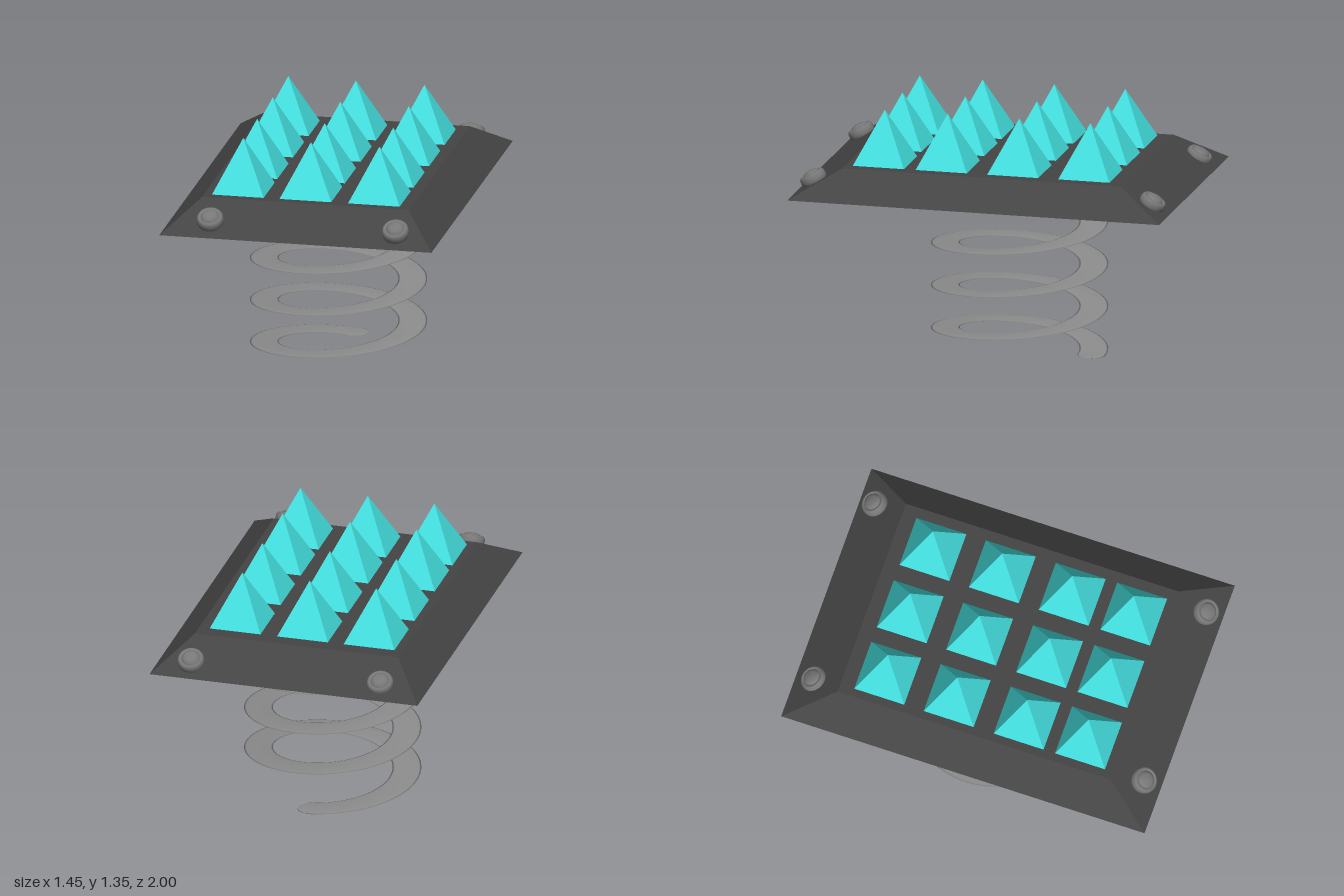
import * as THREE from 'three';

const paint = (color, flatShading = false) => new THREE.MeshStandardMaterial({ color, flatShading });

function addMesh(parent, name, geometry, material) {
  const mesh = new THREE.Mesh(geometry, material);
  mesh.name = name;
  parent.add(mesh);
  return mesh;
}

// Box whose top face is pulled in to make sloping sides
function plateGeometry() {
  const geo = new THREE.BoxGeometry(1.45, 0.145, 2);
  const p = geo.attributes.position;
  for (let i = 0; i < p.count; i++) {
    if (p.getY(i) > 0) p.setXYZ(i, Math.sign(p.getX(i)) * 0.55, p.getY(i), Math.sign(p.getZ(i)) * 0.75);
  }
  geo.computeVertexNormals();
  return geo;
}

// Flat ribbon swept along a helix, narrowing to a round tip at both ends
function springGeometry() {
  const turns = 4, radius = 0.387, halfWidth = 0.075, halfThick = 0.005, height = 0.915, sides = 12;
  const sweep = turns * Math.PI * 2, cap = halfWidth / radius;
  const stations = [];
  for (let i = 0; i < 8; i++) stations.push(-cap * Math.cos((i / 8) * Math.PI / 2));
  for (let i = 0; i <= 256; i++) stations.push((sweep * i) / 256);
  for (let i = 1; i <= 8; i++) stations.push(sweep + cap * Math.sin((i / 8) * Math.PI / 2));

  const points = [], index = [];
  stations.forEach((a, i) => {
    const past = Math.max(0, -a, a - sweep) / cap;
    const k = Math.sqrt(Math.max(0.0001, 1 - past * past));
    const y0 = halfThick + (height * THREE.MathUtils.clamp(a, 0, sweep)) / sweep;
    for (let j = 0; j < sides; j++) {
      const t = (j / sides) * Math.PI * 2;
      const r = radius + halfWidth * k * Math.cos(t);
      points.push(-r * Math.sin(a), y0 + halfThick * k * Math.sin(t), -r * Math.cos(a));
      if (i < stations.length - 1) {
        const p = i * sides + j, q = i * sides + ((j + 1) % sides);
        index.push(p, p + sides, q, q, p + sides, q + sides);
      }
    }
  });
  const geo = new THREE.BufferGeometry();
  geo.setAttribute('position', new THREE.Float32BufferAttribute(points, 3));
  geo.setIndex(index);
  geo.computeVertexNormals();
  return geo;
}

// Round bolt head: bulging rim, groove and a raised centre
function boltGeometry() {
  const profile = [
    [0, -0.035], [0.055, -0.035], [0.067, -0.025], [0.071, -0.005], [0.069, 0.014], [0.062, 0.025],
    [0.054, 0.027], [0.048, 0.021], [0.046, 0.022], [0.04, 0.033], [0.026, 0.039], [0, 0.041],
  ].map(([x, y]) => new THREE.Vector2(x, y));
  return new THREE.LatheGeometry(profile, 28);
}

export function createModel() {
  const model = new THREE.Group();
  model.name = 'springSpikePlate';

  addMesh(model, 'basePlate', plateGeometry(), paint(0x444444)).position.y = 0.9975;
  addMesh(model, 'spring', springGeometry(), paint(0x8c8c8c)).position.z = -0.0625;

  // Grid of square pyramids
  const spikes = new THREE.Group();
  spikes.name = 'spikes';
  model.add(spikes);
  const spikeGeo = new THREE.ConeGeometry(0.1375 * Math.SQRT2, 0.277, 4).rotateY(Math.PI / 4);
  const spikeMat = paint(0x44e0e0, true);
  for (const x of [-0.37, -0.01, 0.355]) {
    for (const z of [-0.535, -0.153, 0.232, 0.57]) {
      addMesh(spikes, 'spike', spikeGeo, spikeMat).position.set(x, 1.2105, z);
    }
  }

  // Bolts seated on the front and back slopes
  const bolts = new THREE.Group();
  bolts.name = 'bolts';
  model.add(bolts);
  const boltGeo = boltGeometry(), boltMat = paint(0x777777);
  const slope = Math.atan2(0.145, 0.25);
  for (const [x, y, z] of [
    [-0.473, 1.002, 0.912], [0.515, 1.002, 0.915],
    [-0.495, 0.983, -0.9], [0.525, 0.992, -0.915],
  ]) {
    const bolt = addMesh(bolts, 'bolt', boltGeo, boltMat);
    bolt.position.set(x, y, z);
    bolt.rotation.x = Math.sign(z) * slope;
  }
  return model;
}
